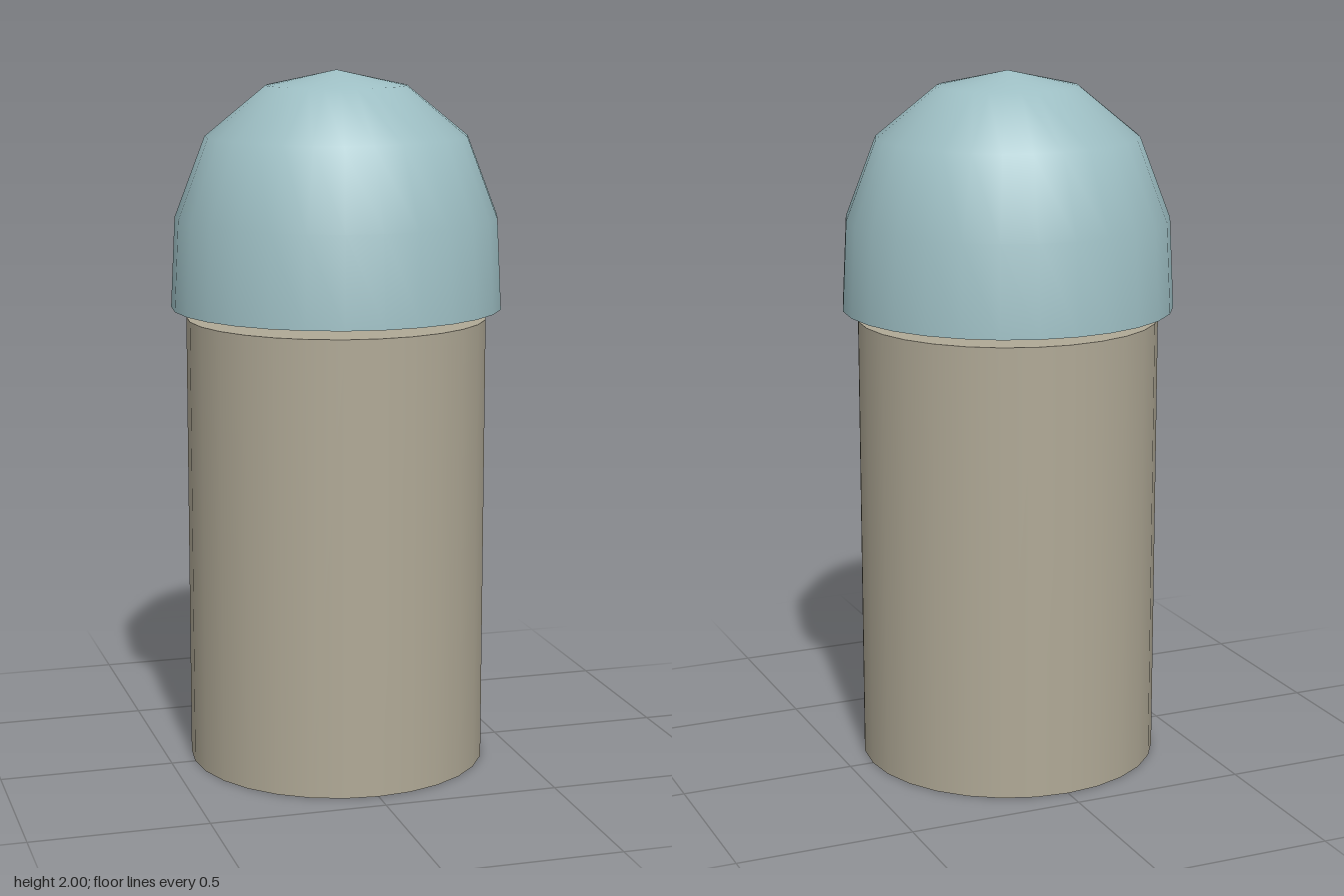
import * as THREE from 'three';

const SIDES = 28;

export function createModel() {
  const model = new THREE.Group();
  model.name = 'bollardLamp';

  const stone = new THREE.MeshStandardMaterial({ color: 0xb0a996 });
  stone.name = 'warm grey';
  const blue = new THREE.MeshStandardMaterial({ color: 0x9dbec3, side: THREE.DoubleSide });
  blue.name = 'pale blue';

  const add = (name, geometry, material, y) => {
    const mesh = new THREE.Mesh(geometry, material);
    mesh.name = name;
    mesh.position.y = y;
    model.add(mesh);
    return mesh;
  };

  // Solid round post
  add('post', new THREE.CylinderGeometry(0.43, 0.43, 1.3, SIDES), stone, 0.65);

  // Hollow domed cap floating just above the post, open underneath
  const profile = [
    [0.473, 1.33], [0.46, 1.587], [0.373, 1.815], [0.2, 1.957], [0, 2],
  ].map(([r, y]) => new THREE.Vector2(r, y));
  add('cap', new THREE.LatheGeometry(profile, SIDES), blue, 0);

  // Small round bulb hidden inside the cap
  add('bulb', new THREE.SphereGeometry(0.107, 20, 14), stone, 1.55);

  return model;
}
